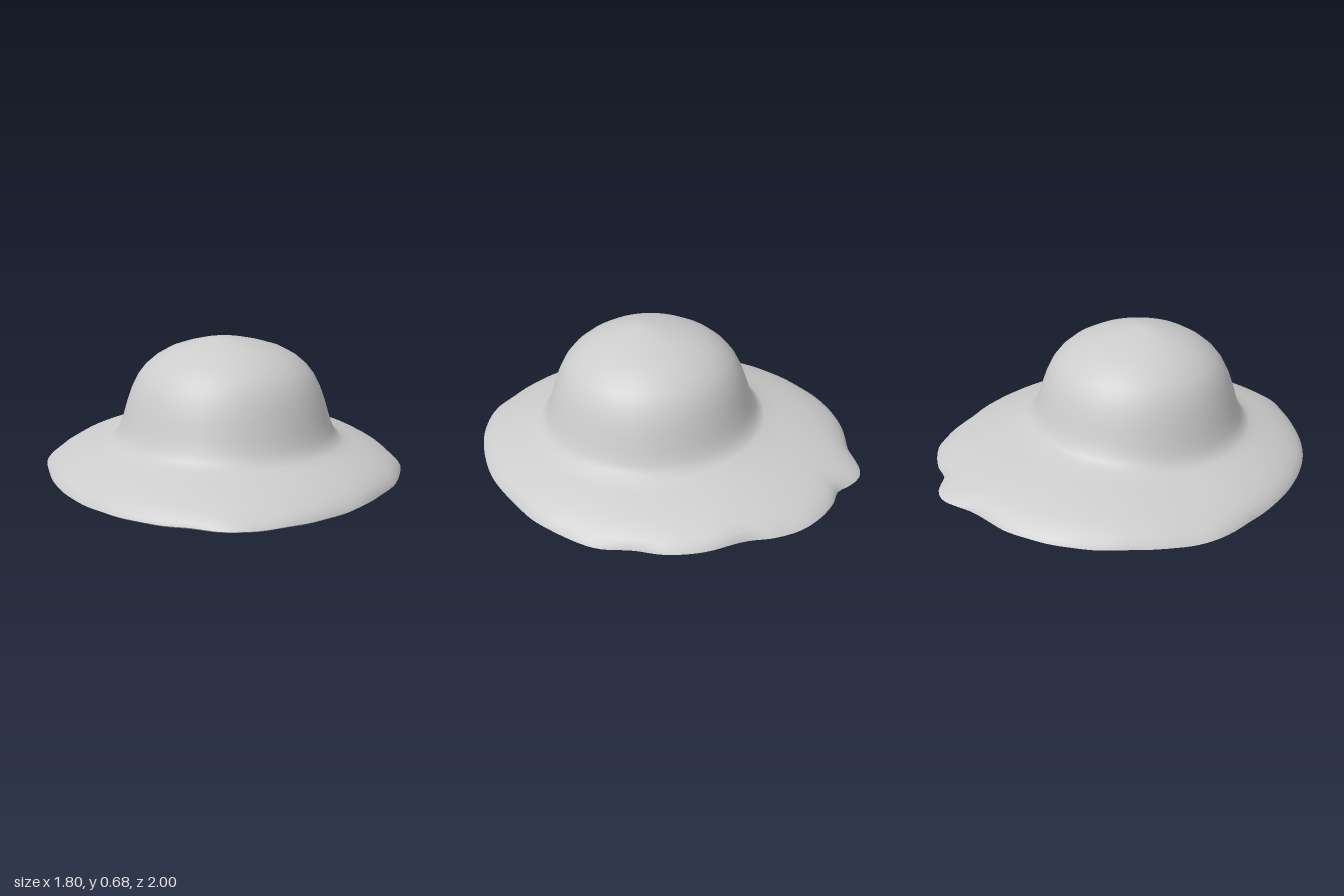
import * as THREE from 'three';

const SEG = 180;

// Irregular brim outline as [x, z], running back > left > front > right
const OUTLINE = [
  [0, -1], [0.07, -1], [0.14, -0.965], [0.2, -0.92], [0.3, -0.91], [0.42, -0.87],
  [0.52, -0.81], [0.62, -0.69], [0.67, -0.58], [0.78, -0.43], [0.85, -0.27], [0.87, -0.1],
  [0.9, 0.08], [0.87, 0.23], [0.81, 0.4], [0.7, 0.57], [0.57, 0.73], [0.4, 0.86],
  [0.22, 0.95], [0.06, 0.99], [-0.03, 0.99], [-0.15, 0.95], [-0.27, 0.91], [-0.43, 0.83],
  [-0.57, 0.72], [-0.7, 0.56], [-0.8, 0.37], [-0.86, 0.17], [-0.9, -0.07], [-0.86, -0.25],
  [-0.79, -0.41], [-0.7, -0.57], [-0.56, -0.73], [-0.38, -0.85], [-0.15, -0.925], [-0.08, -0.965],
];

// Crown profile [radius, y, centre z]; the last ring is where the brim starts
const CROWN = [
  [0, 0.684, 0.125], [0.05, 0.681, 0.12], [0.12, 0.667, 0.11], [0.2, 0.646, 0.1], [0.28, 0.618, 0.09],
  [0.35, 0.578, 0.085], [0.4, 0.535, 0.085], [0.435, 0.49, 0.085], [0.465, 0.43, 0.085],
  [0.49, 0.36, 0.085], [0.51, 0.29, 0.085], [0.53, 0.235, 0.085], [0.55, 0.198, 0.085], [0.58, 0.172, 0.085],
];
// Brim profile [fraction from crown to outline, y]
const BRIM = [[0.2, 0.152], [0.4, 0.13], [0.6, 0.106], [0.78, 0.08], [0.9, 0.054], [0.97, 0.032], [1, 0.012]];
// Dished hollow underneath [fraction from centre to outline, y]
const UNDER = [
  [1, 0.012], [0.985, 0.003], [0.95, 0.008], [0.86, 0.03], [0.72, 0.06],
  [0.57, 0.086], [0.42, 0.106], [0.27, 0.118], [0.13, 0.123], [0, 0.125],
];

const curve = new THREE.CatmullRomCurve3(OUTLINE.map(([x, z]) => new THREE.Vector3(x, 0, z)), true);
const edge = curve.getSpacedPoints(SEG).slice(0, SEG);
const centre = new THREE.Vector3(0.015, 0, 0.085);

// Evened-out outline, so dents in the rim do not crease the whole brim
const WINDOW = 10;
const evenEdge = edge.map((_, j) => {
  const sum = new THREE.Vector3();
  for (let k = -WINDOW; k <= WINDOW; k++) sum.add(edge[(j + k + SEG) % SEG]);
  return sum.multiplyScalar(1.015 / (2 * WINDOW + 1));
});
const outlineAt = (j, t) => evenEdge[j].clone().lerp(edge[j], t ** 8);

// The back of the brim sits higher than the front; the rim has a slight ripple
const back = (p) => THREE.MathUtils.smoothstep(-p.z, 0, 0.9);
const rimLift = (p, j) => 0.016 * back(p) + 0.005 * p.z * p.z
  + 0.002 * (1 + Math.sin(j * 0.7) * Math.sin(j * 0.23 + 1));

// Joins closed rings of points into one smooth surface
function loft(rings) {
  const pos = rings.flat().flatMap((p) => [p.x, p.y, p.z]);
  const index = [];
  for (let i = 0; i < rings.length - 1; i++) {
    for (let j = 0; j < SEG; j++) {
      const k = (j + 1) % SEG;
      const a = i * SEG + j, b = a + SEG, c = (i + 1) * SEG + k, d = i * SEG + k;
      index.push(a, c, b, a, d, c);
    }
  }
  const g = new THREE.BufferGeometry();
  g.setAttribute('position', new THREE.Float32BufferAttribute(pos, 3));
  g.setIndex(index);
  g.computeVertexNormals();
  return g;
}

function crownRing([r, y, cz]) {
  const raise = 0.03 * (1 - THREE.MathUtils.smoothstep(y, 0.17, 0.34));
  return evenEdge.map((p) => {
    const d = p.clone().sub(centre).normalize();
    return new THREE.Vector3(centre.x * Math.min(1, r * 3) + d.x * r, y + raise * back(p), cz + d.z * r);
  });
}

export function createModel() {
  const felt = new THREE.MeshStandardMaterial({ color: 0xcccccc });
  felt.name = 'pale grey felt';
  const group = new THREE.Group();
  group.name = 'hat';

  // Domed crown flowing into the sloping brim
  const crown = CROWN.map(crownRing);
  const base = crown[crown.length - 1];
  const brim = BRIM.map(([t, y]) => evenEdge.map((p, j) => {
    const v = base[j].clone().lerp(outlineAt(j, t), t);
    v.y = y + 0.03 * back(p) * (1 - t ** 6) + rimLift(p, j) * t ** 6;
    return v;
  }));
  const top = new THREE.Mesh(loft([...crown, ...brim]), felt);
  top.name = 'crownAndBrim';

  // Closed, dished underside
  const under = UNDER.map(([t, y]) => evenEdge.map((p, j) => {
    const v = centre.clone().lerp(outlineAt(j, t), t);
    v.y = y + rimLift(p, j) * t ** 3;
    return v;
  }));
  const underside = new THREE.Mesh(loft(under), felt);
  underside.name = 'underside';

  group.add(top, underside);
  return group;
}
